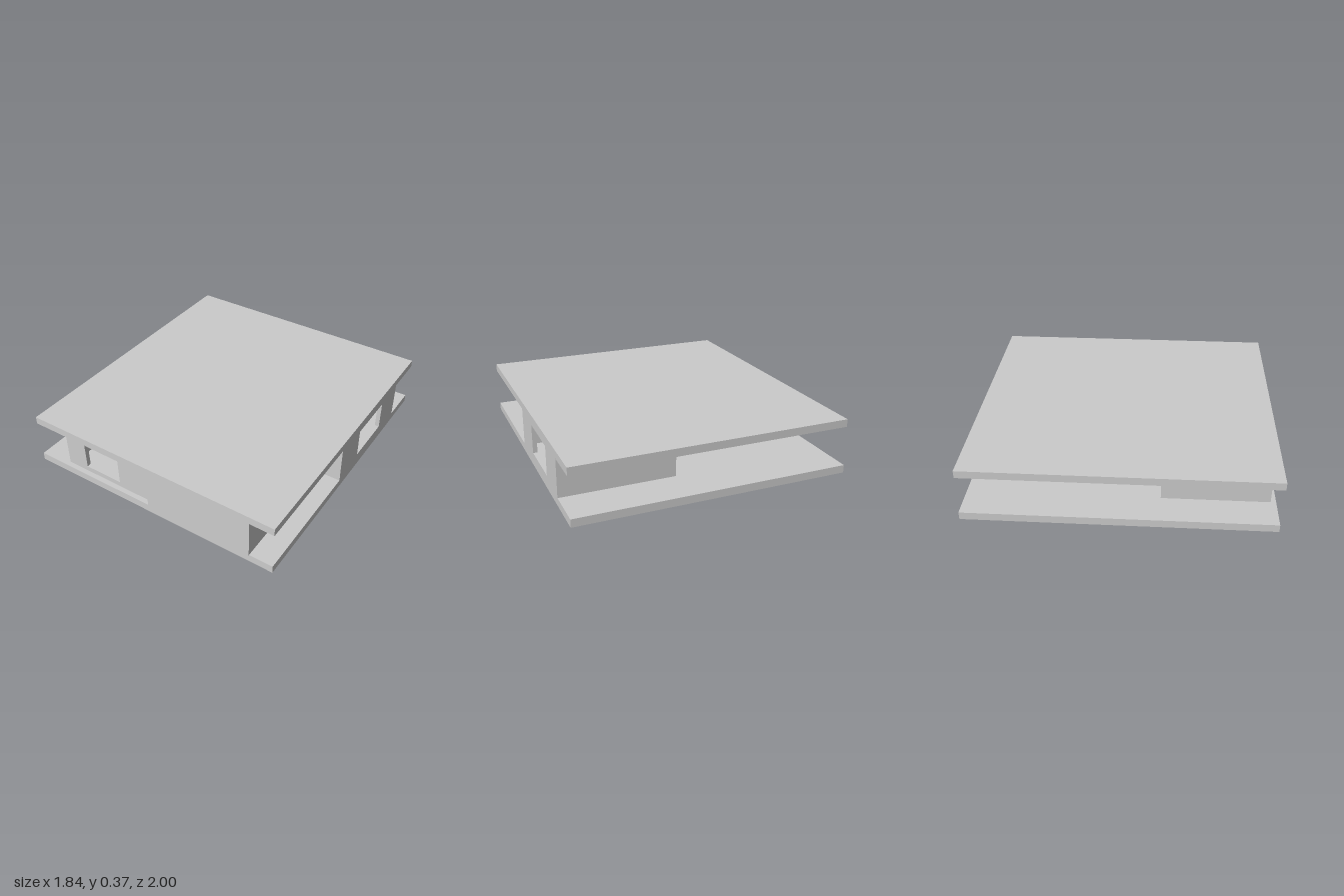
import * as THREE from 'three';

const material = new THREE.MeshStandardMaterial({ color: 0xcccccc, flatShading: true });
const FLOOR = 0.053, CEILING = 0.32, THICK = 0.03;

// Plan of the walls as [x, z], starting at the front; the outside lies to the right of each step.
const PLAN = [
  [-0.7, 0.96], [0, 0.96], [0, 0.998], [0.753, 0.998], [0.753, 0.13], [0.915, 0.13],
  [0.915, -0.73], [0.15, -0.73], [0.15, -0.15], [-0.32, -0.15], [-0.32, 0.26], [-0.7, 0.26],
];
// Window spans along a wall, by wall index
const WINDOWS = { 0: [0.16, 0.44], 5: [0.26, 0.62] };

function rectangle(target, u0, v0, u1, v1) {
  target.moveTo(u0, v0).lineTo(u1, v0).lineTo(u1, v1).lineTo(u0, v1).closePath();
  return target;
}

function addSlab(group, name, x, y0, y1, z) {
  const slab = new THREE.Mesh(new THREE.BoxGeometry(1.835, y1 - y0, 1.995), material);
  slab.name = name;
  slab.position.set(x, (y0 + y1) / 2, z);
  group.add(slab);
}

// True where the outline turns inward at corner i
function isInnerCorner(i) {
  const n = PLAN.length;
  const p = PLAN[(i + n - 1) % n], c = PLAN[i % n], q = PLAN[(i + 1) % n];
  return (c[0] - p[0]) * (q[1] - c[1]) - (c[1] - p[1]) * (q[0] - c[0]) > 0;
}

function makeWall(i) {
  const a = PLAN[i], b = PLAN[(i + 1) % PLAN.length];
  const dx = b[0] - a[0], dz = b[1] - a[1];
  // Walls run on by their thickness to close inner corners
  const start = isInnerCorner(i) ? -THICK : 0;
  const end = Math.hypot(dx, dz) + (isInnerCorner(i + 1) ? THICK : 0);
  const shape = rectangle(new THREE.Shape(), start, FLOOR, end, CEILING);
  const span = WINDOWS[i];
  if (span) shape.holes.push(rectangle(new THREE.Path(), span[0], 0.09, span[1], 0.29));
  const geometry = new THREE.ExtrudeGeometry(shape, { depth: THICK, bevelEnabled: false });
  geometry.translate(0, 0, -THICK);
  const wall = new THREE.Mesh(geometry, material);
  wall.name = span ? 'windowWall' : 'wall';
  wall.position.set(a[0], 0, a[1]);
  wall.rotation.y = Math.atan2(-dz, dx);
  return wall;
}

export function createModel() {
  const model = new THREE.Group();
  model.name = 'pavilion';

  // Floor and roof, slightly offset from each other
  addSlab(model, 'floorSlab', -0.0025, 0, FLOOR, -0.0025);
  addSlab(model, 'roofSlab', 0.0025, CEILING, 0.372, 0.0025);

  // Hollow ring of walls
  const walls = new THREE.Group();
  walls.name = 'walls';
  PLAN.forEach((_, i) => walls.add(makeWall(i)));
  model.add(walls);
  return model;
}
